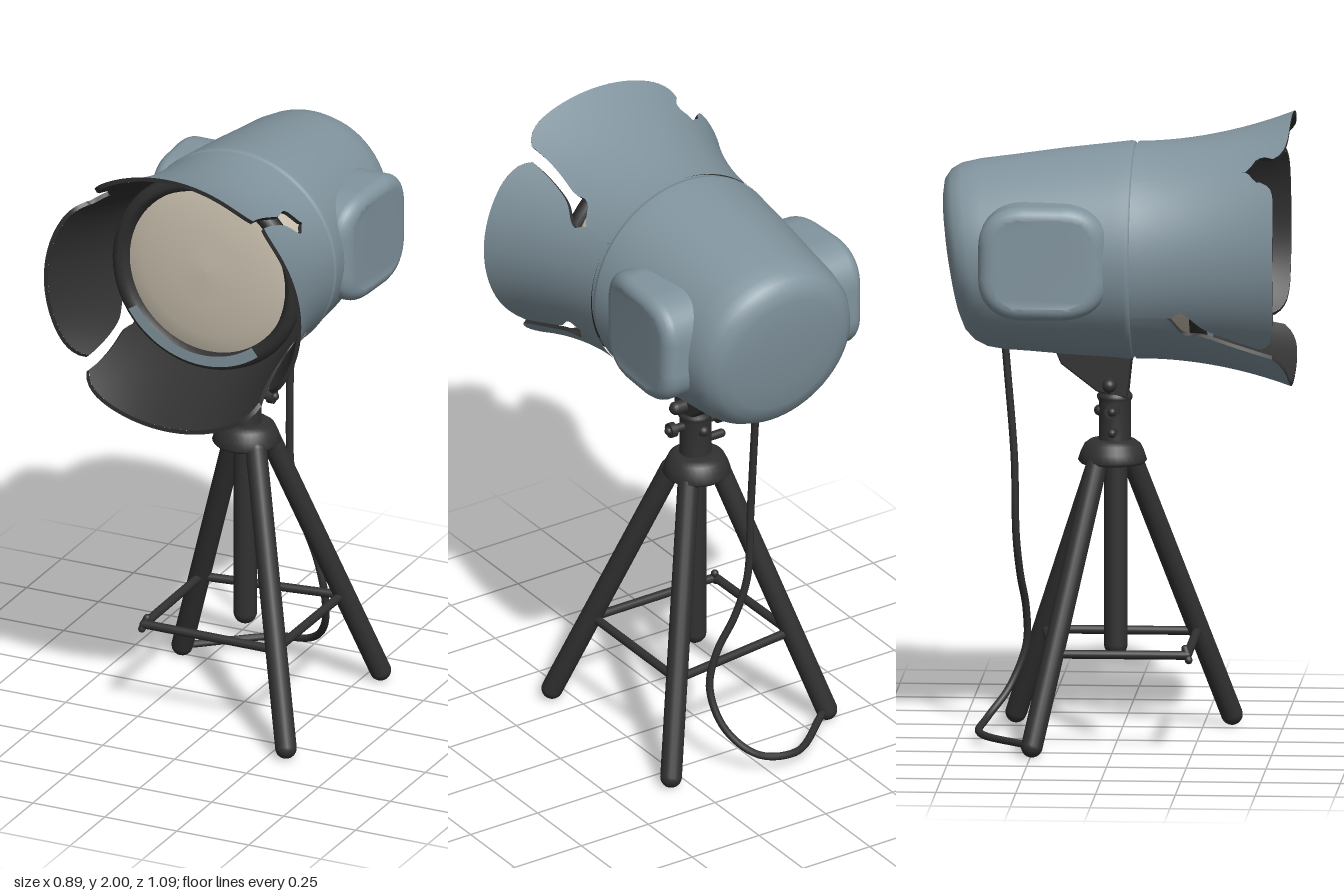
import * as THREE from 'three';
import { mergeVertices } from 'three/addons/utils/BufferGeometryUtils.js';

const V = (x, y, z) => new THREE.Vector3(x, y, z);
const rad = THREE.MathUtils.degToRad;
const clamp = THREE.MathUtils.clamp;

const paint = new THREE.MeshStandardMaterial({ color: 0x82959f });
paint.name = 'blueGreyPaint';
const dark = new THREE.MeshStandardMaterial({ color: 0x313131, side: THREE.DoubleSide });
dark.name = 'darkMetal';
const glass = new THREE.MeshStandardMaterial({ color: 0xcdc3b1 });
glass.name = 'creamLens';

// Surface from a rule fn(u, v)
function grid(nu, nv, fn) {
  const pos = [], idx = [];
  for (let j = 0; j <= nv; j++)
    for (let i = 0; i <= nu; i++) pos.push(...fn(i / nu, j / nv));
  for (let j = 0; j < nv; j++)
    for (let i = 0; i < nu; i++) {
      const a = j * (nu + 1) + i, b = a + 1, c = b + nu + 1, d = a + nu + 1;
      idx.push(a, b, c, a, c, d);
    }
  const g = new THREE.BufferGeometry();
  g.setAttribute('position', new THREE.Float32BufferAttribute(pos, 3));
  g.setIndex(idx);
  g.computeVertexNormals();
  return g;
}

// Move vertices by a rule, then smooth across the seam
function warp(geo, rule) {
  geo.deleteAttribute('uv');
  geo.deleteAttribute('normal');
  const g = mergeVertices(geo, 1e-5), p = g.attributes.position, v = V(0, 0, 0);
  for (let i = 0; i < p.count; i++) {
    rule(v.fromBufferAttribute(p, i));
    p.setXYZ(i, v.x, v.y, v.z);
  }
  g.computeVertexNormals();
  return g;
}

// Lathe around the z axis from [radius, z] pairs running back to front
const latheZ = (pts, n = 64) =>
  new THREE.LatheGeometry(pts.map(p => new THREE.Vector2(...p)), n).rotateX(Math.PI / 2);

// Slits between the four flaps: tip angle, sway towards the side, start depth
const slits = [
  { tip: -44, sway: 15, start: 0.18 },
  { tip: 49, sway: -14, start: 0.18 },
  { tip: 132, sway: 0, start: 0.42 },
  { tip: 224, sway: -15, start: 0.18 },
  { tip: 316, sway: 15, start: 0.18 },
];
function slitEdge({ tip, sway, start }, z, sign) {
  const s = clamp((z - 0.18) / 0.33, 0, 1);
  const open = clamp((z - start) / 0.03, 0, 1);
  const gap = open * (2.5 + 4.5 * Math.exp(-(((z - start - 0.05) / 0.04) ** 2)));
  return rad(tip + sway * (1 - s) ** 2 + sign * gap);
}

// Point on a flared flap, inset by the shell thickness
function flapPoint(k, u, v, inset) {
  const front = k % 2 ? 0.55 : 0.515;
  const z = 0.064 + (front - 0.045 * Math.abs(2 * u - 1) ** 8 - 0.064) * v;
  const a = THREE.MathUtils.lerp(slitEdge(slits[k], z, 1), slitEdge(slits[k + 1], z, -1), u);
  const rx = 0.343 + 0.102 * ((z - 0.06) / 0.45) ** 2 - inset;
  const ry = 0.34 + 0.09 * ((z - 0.06) / 0.49) ** 2 - inset;
  return [rx * Math.cos(a), 1.56 + 0.02 * (z - 0.06) + ry * Math.sin(a), z];
}

export function createModel() {
  const model = new THREE.Group();
  model.name = 'tripodLamp';
  const add = (name, geo, mat, x = 0, y = 0, z = 0) => {
    const m = new THREE.Mesh(geo, mat);
    m.name = name;
    m.position.set(x, y, z);
    model.add(m);
    return m;
  };
  const rod = (name, a, b, r) => {
    const m = add(name, new THREE.CapsuleGeometry(r, a.distanceTo(b), 6, 16), dark);
    m.position.copy(a).lerp(b, 0.5);
    m.quaternion.setFromUnitVectors(V(0, 1, 0), b.clone().sub(a).normalize());
  };

  // Housing: tapered drum with a rounded, leaning back
  const housing = latheZ([[0, -0.525], [0.12, -0.522], [0.2, -0.514], [0.24, -0.503], [0.268, -0.48],
    [0.287, -0.445], [0.298, -0.39], [0.307, -0.3], [0.324, -0.15], [0.337, 0], [0.342, 0.04],
    [0.341, 0.052], [0.333, 0.058], [0.325, 0.06]]);
  add('housing', warp(housing, v => {
    const back = clamp(-v.z / 0.45, 0, 1);
    v.z -= 0.15 * v.y * back;
    v.y += 1.56 - 0.02 * back;
  }), paint);
  add('seamBand', latheZ([[0.333, 0.05], [0.333, 0.075]]), paint, 0, 1.56, 0);

  // Flared flaps: painted outside, dark inside and on the rim
  ['leftFlap', 'topFlap', 'rightFlap', 'bottomFlap'].forEach((name, k) => {
    add(name, grid(28, 32, (u, v) => flapPoint(k, u, v, 0)), paint);
    add(name + 'Lining', grid(28, 32, (u, v) => flapPoint(k, u, v, 0.014)), dark);
    const rim = [
      t => [0, t], t => [t, 1], t => [1, 1 - t],
    ];
    rim.forEach(edge => add(name + 'Rim', grid(32, 1, (t, q) => flapPoint(k, ...edge(t), 0.014 * q)), dark));
  });

  // Lens, bezel and baffle
  add('baffle', new THREE.CylinderGeometry(0.328, 0.328, 0.03, 48).rotateX(Math.PI / 2), dark, 0, 1.56, 0.09);
  add('lens', latheZ([[0.3, 0.1], [0.3, 0.245], [0.28, 0.255], [0.22, 0.268], [0.12, 0.278], [0, 0.282]]),
    glass, 0, 1.58, 0);
  add('bezel', latheZ([[0.302, 0.24], [0.322, 0.242], [0.327, 0.262], [0.32, 0.285], [0.3, 0.292],
    [0.28, 0.286], [0.273, 0.25]]), dark, 0, 1.573, 0);
  add('bezelTrim', new THREE.RingGeometry(0.272, 0.307, 40, 1, rad(212), rad(96)), paint, 0, 1.573, 0.295);

  // Rounded side pods
  const s = new THREE.Shape(), h = 0.14, c = 0.09;
  s.moveTo(-h + c, -h);
  [[h, -h, h, -h + c, h - c, -h], [h, h, h - c, h, h, h - c], [-h, h, -h, h - c, -h + c, h],
    [-h, -h, -h + c, -h, -h, -h + c]].forEach(([qx, qy, x, y, lx, ly]) => {
    s.lineTo(lx, ly);
    s.quadraticCurveTo(qx, qy, x, y);
  });
  for (const side of [1, -1]) {
    const pod = new THREE.ExtrudeGeometry(s, { depth: 0.15, bevelThickness: 0.04, bevelSize: 0.04,
      bevelSegments: 6, curveSegments: 10 }).rotateY(side * Math.PI / 2);
    add(side > 0 ? 'leftPod' : 'rightPod', warp(pod, v => {
      v.z = v.z * 1.12 - 0.212;
      v.y += 1.568;
      v.x += side * (0.18 - 0.03 * (Math.max(0, v.z + 0.28) / 0.28) ** 2);
    }), paint);
  }

  // Bracket under the housing
  const wedge = new THREE.Shape([[-0.05, 1.25], [0.19, 1.25], [0.17, 1.205], [0.06, 1.12], [-0.03, 1.1],
    [-0.04, 1.2]].map(p => new THREE.Vector2(...p)));
  add('bracket', new THREE.ExtrudeGeometry(wedge, { depth: 0.08, bevelThickness: 0.01, bevelSize: 0.005,
    bevelSegments: 2 }).rotateY(Math.PI / 2), dark, -0.04, 0, 0);

  // Neck, hub and centre column
  const turned = (name, pts, z) =>
    add(name, new THREE.LatheGeometry(pts.map(p => new THREE.Vector2(...p)), 32), dark, 0, 0, z);
  turned('neck', [[0.06, 0.94], [0.05, 0.96], [0.05, 1.08], [0.055, 1.09], [0.055, 1.1], [0.04, 1.12],
    [0.035, 1.2]], -0.008);
  turned('hub', [[0, 0.885], [0.1, 0.885], [0.108, 0.895], [0.1, 0.92], [0.088, 0.945], [0.07, 0.958],
    [0, 0.96]], -0.015);
  rod('centreColumn', V(0, 0.308, -0.005), V(0, 0.9, -0.005), 0.037);

  // Clamp bolts and knobs
  rod('tiltBolt', V(-0.08, 1.14, -0.02), V(0.08, 1.14, -0.02), 0.022);
  rod('clampBolt', V(-0.1, 1.06, -0.01), V(0.1, 1.06, -0.01), 0.014);
  for (const x of [-0.085, 0.09])
    add('clampKnob', new THREE.CylinderGeometry(0.024, 0.024, 0.02, 20).rotateZ(Math.PI / 2), dark, x, 1.06, -0.01);
  rod('lockBolt', V(-0.095, 0.992, -0.01), V(0, 0.992, -0.01), 0.014);
  rod('rearBolt', V(0, 1.05, 0), V(0, 1.05, -0.055), 0.018);

  // Legs with braces; the fourth brace corner carries only a stub
  const feet = [[0.308, 0.338], [0.308, -0.338], [-0.335, -0.245]];
  feet.forEach(([x, z]) => rod('leg',
    V(Math.sign(x) * 0.06, 0.89, Math.sign(z) * 0.05 - 0.01), V(x, 0.037, z), 0.034));
  const corners = [[0.222, 0.235], [0.222, -0.24], [-0.24, -0.18], [-0.235, 0.235]].map(([x, z]) => V(x, 0.315, z));
  corners.forEach((p, i) => rod('brace', p, corners[(i + 1) % 4], 0.014));
  rod('braceStub', V(-0.24, 0.3, 0.24), V(-0.228, 0.335, 0.228), 0.012);

  // Power cable
  const cable = new THREE.CatmullRomCurve3([V(0, 1.3, -0.355), V(0, 1.18, -0.345), V(0, 0.9, -0.323),
    V(0.01, 0.65, -0.318), V(0.05, 0.52, -0.308), V(0.108, 0.4, -0.293), V(0.135, 0.28, -0.295),
    V(0.11, 0.15, -0.345), V(0.03, 0.065, -0.41), V(-0.1, 0.04, -0.425), V(-0.31, 0.037, -0.26)]);
  add('cable', new THREE.TubeGeometry(cable, 90, 0.012, 10), dark);
  return model;
}
